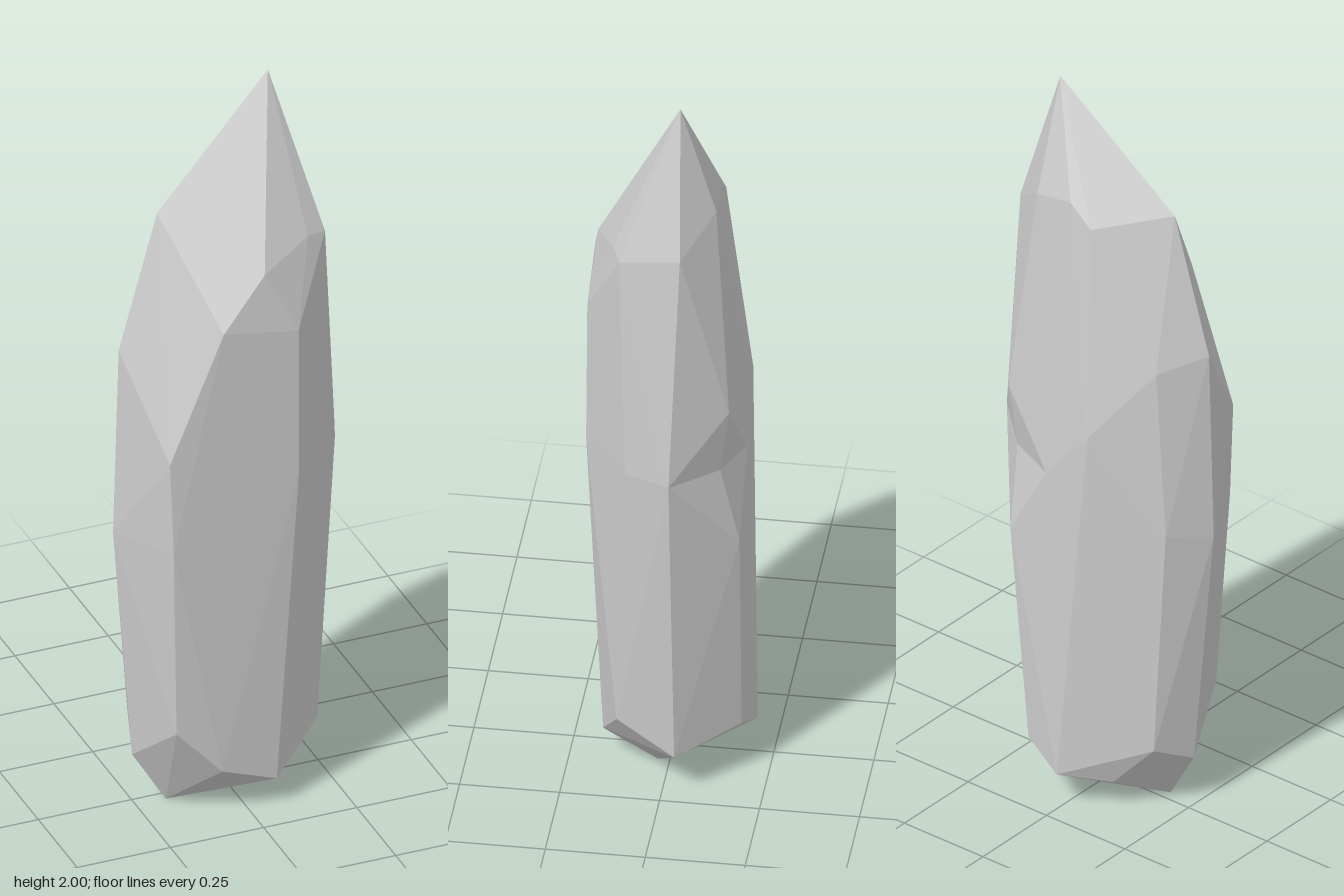
import * as THREE from 'three';
import { ConvexGeometry } from 'three/addons/geometries/ConvexGeometry.js';

const v = (p) => new THREE.Vector3(...p);

// Corners of the cut stone, listed from the tip down
const tip = [[0.13, 2, -0.035]];
const shoulder = [
  [-0.19, 1.69, 0.02], [0.03, 1.55, 0.185], [0.12, 1.64, 0.12], [0.17, 1.6, 0.127],
  [0.225, 1.59, 0.105], [0.245, 1.62, -0.05], [0.13, 1.7, -0.125], [0.025, 1.715, -0.125],
  [-0.04, 1.66, -0.125],
];
const upperBody = [
  [-0.295, 1.32, 0.025], [-0.225, 1.28, 0.12], [-0.09, 1.42, 0.21], [0.115, 1.38, 0.2],
  [0.19, 1.14, -0.165], [-0.08, 1.1, -0.187], [-0.22, 1.29, -0.09],
];
const girdle = [
  [-0.31, 0.8, 0.025], [-0.23, 1.07, 0.2], [-0.22, 0.81, 0.2], [0.115, 0.98, 0.203],
  [0.26, 0.98, 0.085], [0.305, 0.98, -0.03], [0.165, 0.74, -0.188], [0.05, 0.95, -0.19],
  [-0.25, 0.83, -0.09],
];
const base = [
  [-0.255, 0.14, 0.015], [-0.2, 0.27, 0.17], [-0.08, 0.14, 0.178], [0.07, 0.08, 0.167],
  [0.2, 0.2, 0.115], [0.24, 0.125, -0.035], [0.11, 0.155, -0.185], [0, 0.1, -0.21],
  [-0.11, 0.08, -0.125], [-0.22, 0.2, -0.1], [-0.17, 0, 0.028], [0.07, 0, 0.03],
];

// A corner on the back edge that is pushed inward to leave a chip
const chipFrom = v([0.178, 0.95, -0.18]);
const chipTo = v([0.18, 0.96, -0.142]);

export function createModel() {
  const corners = [tip, shoulder, upperBody, girdle, base].flat().map(v);
  const geometry = new ConvexGeometry([...corners, chipFrom]);

  // Push in the chip
  const pos = geometry.attributes.position;
  const p = new THREE.Vector3();
  for (let i = 0; i < pos.count; i++) {
    p.fromBufferAttribute(pos, i);
    if (p.distanceTo(chipFrom) < 0.001) pos.setXYZ(i, chipTo.x, chipTo.y, chipTo.z);
  }
  geometry.computeVertexNormals();

  const stone = new THREE.Mesh(
    geometry,
    new THREE.MeshStandardMaterial({ color: 0xcccccc, flatShading: true })
  );
  stone.name = 'standingStone';

  const group = new THREE.Group();
  group.name = 'facetedStone';
  group.add(stone);
  return group;
}
